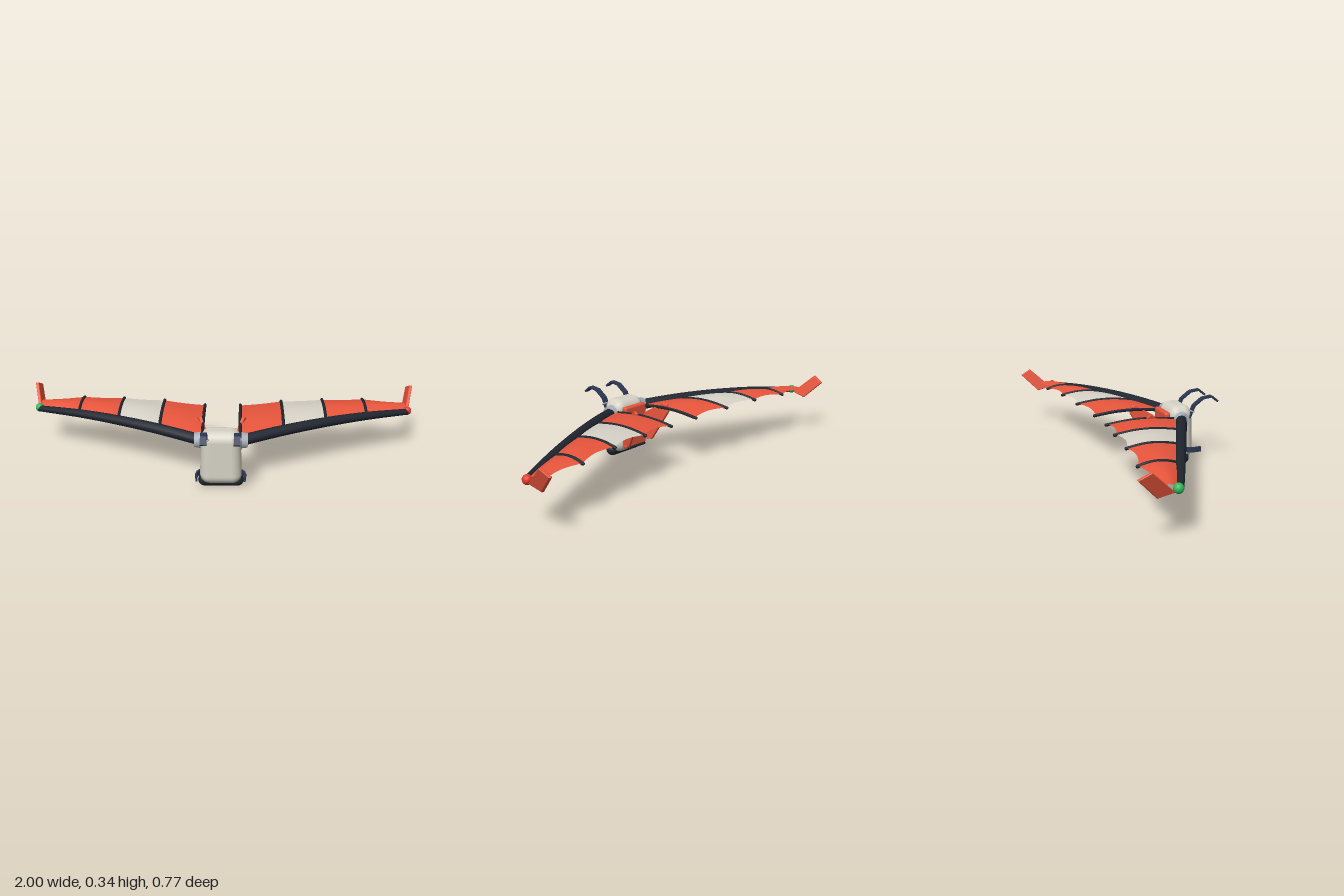
import * as THREE from 'three';
import { RoundedBoxGeometry } from 'three/addons/geometries/RoundedBoxGeometry.js';
import { toCreasedNormals } from 'three/addons/utils/BufferGeometryUtils.js';

const mat = (color, side = THREE.FrontSide) => new THREE.MeshStandardMaterial({ color, side });
const V = (x, y, z) => new THREE.Vector3(x, y, z);

// Mirrored copy across x = 0 with the winding restored
function mirrored(geo) {
  const g = geo.clone().scale(-1, 1, 1);
  const n = g.attributes.position.count;
  const idx = g.index ? Array.from(g.index.array) : Array.from({ length: n }, (_, i) => i);
  for (let i = 0; i < idx.length; i += 3) [idx[i], idx[i + 1]] = [idx[i + 1], idx[i]];
  g.setIndex(idx);
  return g;
}

// Closed outline of a ribbon of given thickness along a 2D polyline
function ribbon(pts, th) {
  const p = pts.map(([a, b]) => new THREE.Vector2(a, b));
  const a = [], b = [];
  p.forEach((q, i) => {
    const d = p[Math.min(i + 1, p.length - 1)].clone().sub(p[Math.max(i - 1, 0)]).normalize();
    const n = new THREE.Vector2(-d.y, d.x).multiplyScalar(th / 2);
    a.push(q.clone().add(n));
    b.unshift(q.clone().sub(n));
  });
  return [...a, ...b];
}

// Plate drawn in the side plane (-z, y), thickened along x
function sidePlate(pts, thick, bevel = 0) {
  const shape = new THREE.Shape(pts);
  const g = new THREE.ExtrudeGeometry(shape, {
    depth: thick, bevelEnabled: bevel > 0, bevelSize: bevel, bevelThickness: bevel, bevelSegments: 1,
  });
  return g.translate(0, 0, -thick / 2).rotateY(Math.PI / 2);
}

// Shift x by a rule of y and z, so a plate can lean or splay
function lean(g, rule) {
  const p = g.attributes.position;
  for (let i = 0; i < p.count; i++) p.setX(i, p.getX(i) + rule(p.getY(i), p.getZ(i)));
  g.computeVertexNormals();
  return g;
}

// Wing layout
const sparY = (x) => 0.25 - 0.11 * (x - 0.45) ** 2;
const sparZ = (x) => 0.165 - 0.44 * (x - 0.13);
const ribX = [0.092, 0.305, 0.52, 0.735, 0.955];
const trailZ = [-0.205, -0.235, -0.257, -0.287, -0.288];
const wingPoint = (x, tz, t) =>
  V(x, sparY(x) + 0.022 * Math.sin(Math.PI * 0.85 * t), THREE.MathUtils.lerp(sparZ(x), tz, t));

// Sail between two ribs: billows upward, scalloped at the trailing edge
function sailPanel(k) {
  const nu = 10, nt = 12, pos = [], idx = [];
  for (let j = 0; j <= nt; j++) for (let i = 0; i <= nu; i++) {
    const u = i / nu, t = j / nt, bulge = Math.sin(Math.PI * u);
    const x = THREE.MathUtils.lerp(ribX[k], ribX[k + 1], u);
    const tz = THREE.MathUtils.lerp(trailZ[k], trailZ[k + 1], u) + 0.018 * bulge;
    const p = wingPoint(x, tz, t);
    pos.push(p.x, p.y + 0.007 * bulge * Math.sin(Math.PI * Math.min(t, 0.8)), p.z);
    if (i < nu && j < nt) {
      const a = j * (nu + 1) + i, b = a + nu + 1;
      idx.push(a, a + 1, b, a + 1, b + 1, b);
    }
  }
  const g = new THREE.BufferGeometry();
  g.setAttribute('position', new THREE.Float32BufferAttribute(pos, 3));
  // Order the corners so the upper side is the front
  for (let i = 0; i < idx.length; i += 3) [idx[i + 1], idx[i + 2]] = [idx[i + 2], idx[i + 1]];
  g.setIndex(idx);
  g.computeVertexNormals();
  return g;
}

// Leading-edge spar, a tube that thins toward the tip
function sparGeometry() {
  const xs = [0.1, 0.3, 0.5, 0.72, 0.96];
  const curve = new THREE.CatmullRomCurve3(xs.map((x) => V(x, sparY(x), sparZ(x))));
  const rings = 32, sides = 12, g = new THREE.TubeGeometry(curve, rings, 0.027, sides);
  const p = g.attributes.position, v = V(0, 0, 0);
  for (let i = 0; i < p.count; i++) {
    const u = Math.floor(i / (sides + 1)) / rings, c = curve.getPointAt(u);
    v.fromBufferAttribute(p, i).sub(c).multiplyScalar(1 - 0.42 * u * u).add(c);
    p.setXYZ(i, v.x, v.y, v.z);
  }
  g.computeVertexNormals();
  return g;
}

export function createModel() {
  const root = new THREE.Group();
  root.name = 'gliderPack';
  const shell = mat(0xd6d2c6), red = mat(0xe8553c), navy = mat(0x2c3752);
  const black = mat(0x20252f), steel = mat(0xa8b0b8);
  const sailRed = mat(0xe8553c, THREE.DoubleSide), sailWhite = mat(0xd6d2c6, THREE.DoubleSide);
  const add = (name, geo, m) => {
    const mesh = new THREE.Mesh(geo, m);
    mesh.name = name;
    root.add(mesh);
  };
  const pair = (name, geo, m, m2 = m) => {
    add(name + 'Left', geo, m);
    add(name + 'Right', mirrored(geo), m2);
  };

  // Pack body, slightly narrower at the top
  const body = new RoundedBoxGeometry(0.206, 0.275, 0.132, 5, 0.05);
  const bp = body.attributes.position;
  for (let i = 0; i < bp.count; i++) {
    const s = 1 - 0.1 * (bp.getY(i) / 0.275 + 0.5);
    bp.setX(i, bp.getX(i) * s);
    bp.setZ(i, bp.getZ(i) * s);
  }
  add('packBody', body.translate(0, 0.161, 0.19), shell);

  // Bed roll under the pack
  add('baseRoll', new THREE.CapsuleGeometry(0.031, 0.16, 6, 14).rotateZ(Math.PI / 2).translate(0, 0.032, 0.198), black);

  // Back panel with its lower crossbar
  add('backPanel', new RoundedBoxGeometry(0.15, 0.22, 0.03, 3, 0.012).translate(0, 0.16, 0.118), red);
  add('crossbar', new THREE.CapsuleGeometry(0.007, 0.11, 4, 8).rotateZ(Math.PI / 2).translate(0, 0.055, 0.1), black);

  // Splayed tail fins
  const finOutline = [[-0.115, 0.08], [-0.07, 0.08], [0.014, 0.235], [0.008, 0.268], [-0.01, 0.276], [-0.115, 0.21]]
    .map(([a, b]) => new THREE.Vector2(a, b));
  pair('tailFin', lean(sidePlate(finOutline, 0.012, 0.002), (y, z) => 0.068 + 0.38 * (0.11 - z)), red);

  // Shoulder hubs
  const hub = new THREE.CylinderGeometry(0.035, 0.04, 0.03, 14).rotateZ(-Math.PI / 2);
  pair('shoulderHub', toCreasedNormals(hub, 0.6).translate(0.113, 0.236, 0.178), steel);

  // Wings: spar, ribs and sail panels
  pair('wingSpar', sparGeometry(), black);
  for (let k = 0; k < 4; k++) {
    const pts = [0, 0.25, 0.5, 0.75, 1.02].map((t) => wingPoint(ribX[k], trailZ[k], t));
    pair('wingRib' + (k + 1), new THREE.TubeGeometry(new THREE.CatmullRomCurve3(pts), 16, 0.008, 8), black);
    const end = pts[4];
    pair('ribEnd' + (k + 1), new THREE.SphereGeometry(0.008, 8, 6).translate(end.x, end.y, end.z), black);
    pair('sailPanel' + (k + 1), sailPanel(k), k === 1 ? sailWhite : sailRed);
  }

  // Wing tips: lights and upswept winglets
  pair('tipLight', new THREE.SphereGeometry(0.022, 16, 12).translate(0.96, 0.224, -0.207), mat(0xe23a30), mat(0x2fb95c));
  const wingletOutline = [[0.225, 0.212], [0.294, 0.196], [0.381, 0.285], [0.331, 0.311]]
    .map(([a, b]) => new THREE.Vector2(a, b));
  pair('winglet', lean(sidePlate(wingletOutline, 0.01, 0.003), (y) => 0.957 + 0.33 * (y - 0.2)), red);

  // Shoulder hooks reaching forward, with buckle rings
  const hook = ribbon([[-0.228, 0.235], [-0.255, 0.297], [-0.302, 0.331], [-0.35, 0.337], [-0.383, 0.31]], 0.009);
  pair('shoulderHook', sidePlate(hook, 0.03).translate(0.077, 0, 0), navy);
  const ring = new THREE.TorusGeometry(0.013, 0.004, 8, 16).scale(1.4, 1, 1).rotateX(-1.15);
  pair('buckleRing', ring.translate(0.077, 0.27, 0.242), steel);

  // Waist straps curving forward along the sides
  const strap = new THREE.Shape(ribbon([[0.1, -0.205], [0.113, -0.225], [0.118, -0.25], [0.114, -0.28]], 0.009));
  const strapGeo = new THREE.ExtrudeGeometry(strap, { depth: 0.026, bevelEnabled: false });
  pair('waistStrap', strapGeo.rotateX(-Math.PI / 2).translate(0, 0.065, 0), navy);

  return root;
}
